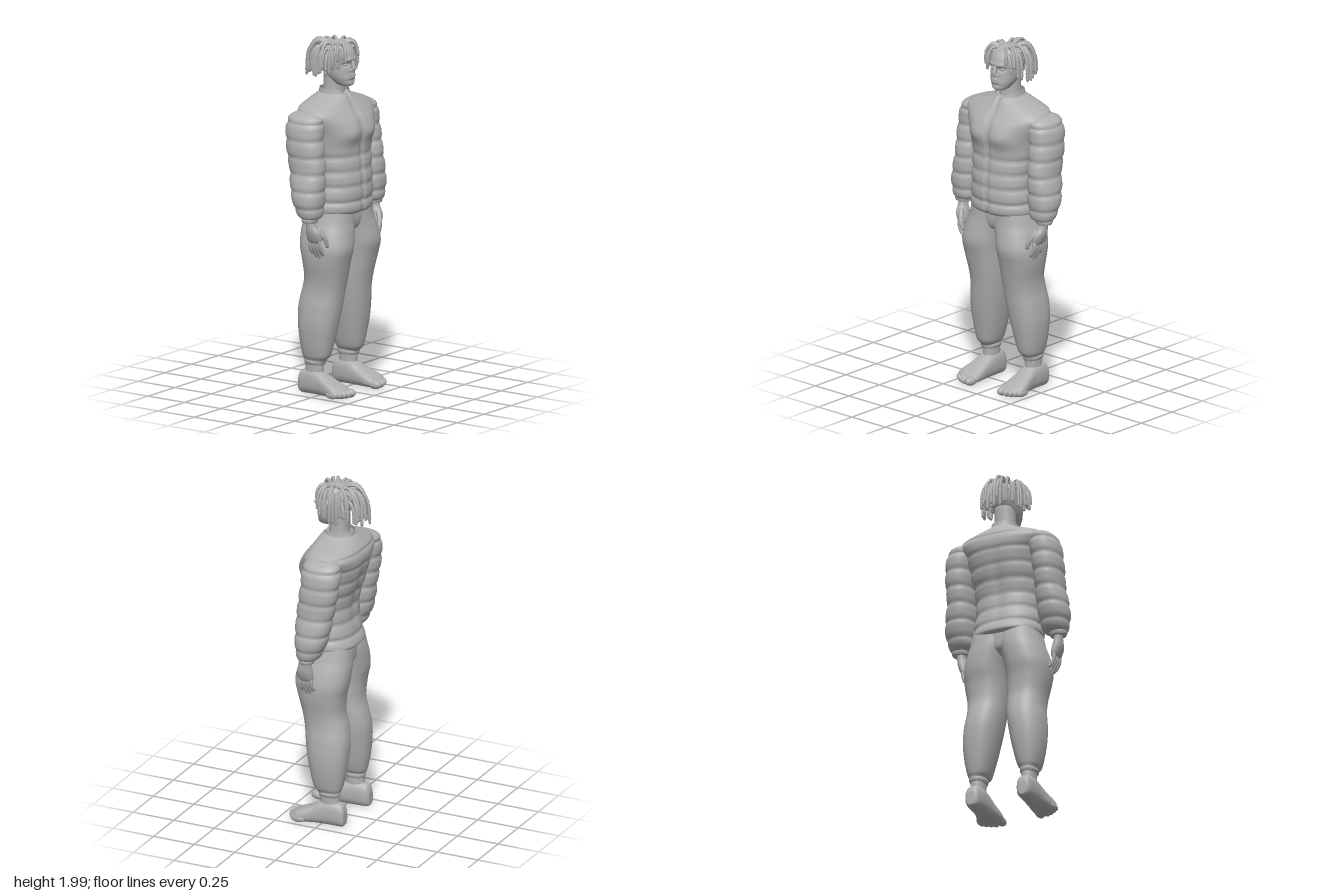
import * as THREE from 'three';

const grey = new THREE.MeshStandardMaterial({ color: 0xb0b0b0 });
grey.name = 'clay grey';
grey.side = THREE.DoubleSide;

const gauss = (d, w) => Math.exp(-(d * d) / (w * w));
const spline = (a, b, c, d, t) =>
  b + 0.5 * t * (c - a + t * (2 * a - 5 * b + 4 * c - d + t * (3 * (b - c) + d - a)));

// Smooth skin through sections [y, xMin, xMax, zBack, zFront], rising in y
function loft(rows, { n = 2.2, seg = 40, sub = 6, warp, open = false } = {}) {
  const rings = [];
  const last = rows.length - 1;
  for (let i = 0; i < last; i++) {
    for (let k = 0; k < sub; k++) {
      const p = [rows[Math.max(i - 1, 0)], rows[i], rows[i + 1], rows[Math.min(i + 2, last)]];
      rings.push(rows[i].map((_, c) => spline(p[0][c], p[1][c], p[2][c], p[3][c], k / sub)));
    }
  }
  rings.push(rows[last]);
  if (!open) {
    const pole = ([y, a, b, c, d]) => [y, (a + b) / 2, (a + b) / 2, (c + d) / 2, (c + d) / 2];
    rings.unshift(pole(rings[0]));
    rings.push(pole(rows[last]));
  }
  const pos = [], index = [], v = new THREE.Vector3();
  const round = (t) => Math.sign(t) * Math.abs(t) ** (2 / n);
  rings.forEach(([y, x0, x1, z0, z1], i) => {
    for (let j = 0; j < seg; j++) {
      const a = (j / seg) * Math.PI * 2;
      v.set((x0 + x1) / 2 + ((x1 - x0) / 2) * round(Math.cos(a)), y,
        (z0 + z1) / 2 + ((z1 - z0) / 2) * round(Math.sin(a)));
      if (warp) warp(v, (x0 + x1) / 2, (z0 + z1) / 2);
      pos.push(v.x, v.y, v.z);
      if (i < rings.length - 1) {
        const p = i * seg + j, q = i * seg + ((j + 1) % seg);
        index.push(p, p + seg, q, q, p + seg, q + seg);
      }
    }
  });
  const geo = new THREE.BufferGeometry();
  geo.setAttribute('position', new THREE.Float32BufferAttribute(pos, 3));
  geo.setIndex(index);
  geo.computeVertexNormals();
  return geo;
}

// Same skin with sections running along z: [z, xMin, xMax, yLow, yHigh]
const loftZ = (rows, opts) =>
  loft(rows.map(([z, a, b, lo, hi]) => [z, a, b, -hi, -lo]), opts).rotateX(Math.PI / 2);

// Tube whose radius follows a rule along its length
function rod(points, radius, steps = 16, sides = 8) {
  const path = new THREE.CatmullRomCurve3(points.map((p) => new THREE.Vector3(...p)));
  const geo = new THREE.TubeGeometry(path, steps, 1, sides);
  const pos = geo.attributes.position, v = new THREE.Vector3();
  for (let i = 0; i <= steps; i++) {
    const c = path.getPointAt(i / steps);
    const r = i === 0 || i === steps ? 0 : radius(i / steps, i);
    for (let j = 0; j <= sides; j++) {
      const k = i * (sides + 1) + j;
      v.fromBufferAttribute(pos, k).sub(c).multiplyScalar(r).add(c);
      pos.setXYZ(k, v.x, v.y, v.z);
    }
  }
  geo.computeVertexNormals();
  return geo;
}

const ball = (x, y, z, rx, ry, rz) =>
  new THREE.SphereGeometry(1, 20, 14).scale(rx, ry, rz).translate(x, y, z);

function mirrored(geo) {
  const m = geo.clone().scale(-1, 1, 1);
  const ix = m.index.array;
  for (let i = 0; i < ix.length; i += 3) [ix[i], ix[i + 1]] = [ix[i + 1], ix[i]];
  m.computeVertexNormals();
  return m;
}

// Quilted seams: pinch the section towards its centre at regular heights
function pinch(v, cx, cz, start, gap, depth) {
  const s = 1 - depth * (1 - Math.abs(Math.sin((Math.PI * (v.y - start)) / gap))) ** 2;
  v.x = cx + (v.x - cx) * s;
  v.z = cz + (v.z - cz) * s;
}

export function createModel() {
  const model = new THREE.Group();
  const add = (name, geo) => {
    const mesh = new THREE.Mesh(geo, grey);
    mesh.name = name;
    model.add(mesh);
  };
  const pair = (name, geo) => {
    add(name + 'Left', geo);
    add(name + 'Right', mirrored(geo));
  };
  const sym = (rows) => rows.map(([y, x, b, f]) => [y, -x, x, b, f]);

  // Padded jacket with chest, front opening and spine groove
  add('jacket', loft(sym([
    [1.03, 0.187, -0.135, 0.16], [1.05, 0.202, -0.148, 0.175], [1.1, 0.2, -0.135, 0.178],
    [1.2, 0.19, -0.118, 0.178], [1.3, 0.192, -0.12, 0.17], [1.4, 0.205, -0.148, 0.163],
    [1.48, 0.22, -0.168, 0.168], [1.55, 0.25, -0.182, 0.158], [1.595, 0.275, -0.18, 0.13],
    [1.625, 0.245, -0.168, 0.108], [1.65, 0.18, -0.15, 0.092], [1.672, 0.118, -0.13, 0.078],
    [1.69, 0.08, -0.11, 0.065],
  ]), {
    n: 2.25, seg: 96, sub: 8,
    warp: (v, cx, cz) => {
      if (v.y < 1.42) pinch(v, cx, cz, 1.1, 0.085, 0.06);
      else if (v.z < 0 && v.y < 1.62) pinch(v, cx, cz, 1.44, 0.085, 0.04);
      if (v.z > 0.03) {
        v.z += 0.022 * gauss(Math.abs(v.x) - 0.09, 0.075) * gauss(v.y - 1.485, 0.055);
        v.z -= 0.014 * gauss(v.x, 0.009);
      } else if (v.z < -0.05) v.z += 0.01 * gauss(v.x, 0.03) * gauss(v.y - 1.35, 0.2);
    },
  }));
  add('collar', loft(sym([
    [1.66, 0.085, -0.12, 0.075], [1.69, 0.076, -0.112, 0.066], [1.715, 0.072, -0.107, 0.06],
  ]), { open: true, warp: (v) => { if (v.z > 0) v.y -= 0.03 * gauss(v.x, 0.035); } }));

  // Puffed sleeves and cuffs
  pair('sleeve', loft([
    [1.03, 0.235, 0.345, -0.015, 0.075], [1.05, 0.212, 0.36, -0.045, 0.09],
    [1.12, 0.2, 0.374, -0.078, 0.1], [1.2, 0.193, 0.368, -0.1, 0.102],
    [1.3, 0.19, 0.35, -0.118, 0.1], [1.4, 0.185, 0.35, -0.138, 0.088],
    [1.5, 0.175, 0.344, -0.15, 0.078], [1.56, 0.17, 0.332, -0.15, 0.078],
    [1.595, 0.18, 0.308, -0.135, 0.06], [1.615, 0.2, 0.27, -0.1, 0.025],
  ], { seg: 48, sub: 10, warp: (v, cx, cz) => { if (v.y < 1.58) pinch(v, cx, cz, 1.09, 0.094, 0.09); } }));
  pair('cuff', loft([
    [1.01, 0.255, 0.345, -0.01, 0.068], [1.025, 0.252, 0.35, -0.015, 0.072],
    [1.05, 0.25, 0.345, -0.015, 0.072],
  ]));

  // Hands hanging with curled fingers
  pair('palm', loft([
    [0.89, 0.258, 0.292, 0.008, 0.085], [0.91, 0.255, 0.304, 0, 0.094],
    [0.95, 0.26, 0.318, 0, 0.092], [0.99, 0.272, 0.322, 0.005, 0.066], [1.03, 0.275, 0.325, 0.005, 0.058],
  ], { seg: 24 }));
  [[0.083, 0.815], [0.06, 0.795], [0.037, 0.8], [0.014, 0.825]].forEach(([z, tip], i) =>
    pair('finger' + i, rod([[0.28, 0.91, z], [0.278, 0.87, z], [0.262, 0.835, z - 0.002],
      [0.24, tip, z - 0.004]], (t) => 0.0125 - 0.004 * t)));
  pair('thumb', rod([[0.282, 0.975, 0.065], [0.262, 0.93, 0.095], [0.248, 0.895, 0.103],
    [0.236, 0.86, 0.1]], (t) => 0.016 - 0.006 * t));

  // Loose trousers gathered at the ankle
  add('hips', loft(sym([
    [0.9, 0.025, -0.05, 0.05], [0.92, 0.06, -0.09, 0.1], [0.95, 0.12, -0.117, 0.132],
    [1.0, 0.18, -0.122, 0.142], [1.06, 0.185, -0.12, 0.14],
  ])));
  pair('trouserLeg', loft([
    [0.185, 0.118, 0.2, -0.102, 0.022], [0.2, 0.11, 0.203, -0.105, 0.032],
    [0.225, 0.093, 0.215, -0.115, 0.052], [0.3, 0.072, 0.23, -0.13, 0.07],
    [0.4, 0.05, 0.24, -0.142, 0.09], [0.5, 0.032, 0.236, -0.144, 0.105],
    [0.58, 0.022, 0.226, -0.13, 0.115], [0.66, 0.016, 0.228, -0.112, 0.13],
    [0.76, 0.01, 0.245, -0.118, 0.152], [0.84, 0.002, 0.249, -0.135, 0.17],
    [0.92, -0.015, 0.232, -0.14, 0.16], [0.98, -0.035, 0.212, -0.136, 0.15],
    [1.05, -0.04, 0.195, -0.125, 0.145],
  ], { n: 2.35, seg: 48 }));
  pair('trouserCuff', loft([
    [0.17, 0.113, 0.198, -0.1, 0.018], [0.185, 0.108, 0.204, -0.105, 0.024],
    [0.203, 0.112, 0.2, -0.102, 0.02],
  ]));
  pair('ankle', loft([[0.08, 0.118, 0.195, -0.1, 0.01], [0.19, 0.118, 0.195, -0.096, 0.014]]));

  // Bare feet, toes stepping back towards the outside
  pair('foot', loftZ([
    [-0.138, 0.135, 0.185, 0.012, 0.09], [-0.12, 0.117, 0.198, 0, 0.128],
    [-0.06, 0.107, 0.207, 0, 0.145], [0, 0.103, 0.212, 0, 0.135], [0.05, 0.1, 0.222, 0, 0.108],
    [0.1, 0.094, 0.236, 0, 0.084], [0.135, 0.094, 0.238, 0.001, 0.068],
    [0.16, 0.099, 0.218, 0.004, 0.054], [0.178, 0.108, 0.19, 0.01, 0.042],
  ], { n: 2.6, seg: 32 }));
  [[0.12, 0.165, 0.026], [0.157, 0.162, 0.019], [0.183, 0.152, 0.018], [0.206, 0.138, 0.017],
    [0.226, 0.122, 0.015]].forEach(([x, z, r], i) =>
    pair('toe' + i, ball(x, 0.026, z, r, 0.026 - i * 0.001, 0.042)));

  // Neck, head and face
  add('neck', loft(sym([
    [1.62, 0.075, -0.1, 0.045], [1.7, 0.06, -0.082, 0.032], [1.82, 0.06, -0.082, 0.03],
  ])));
  add('head', loft(sym([
    [1.735, 0.03, 0.02, 0.088], [1.745, 0.044, -0.01, 0.1], [1.775, 0.063, -0.045, 0.104],
    [1.81, 0.075, -0.075, 0.1], [1.85, 0.081, -0.098, 0.098], [1.9, 0.085, -0.108, 0.1],
    [1.94, 0.08, -0.1, 0.085], [1.968, 0.058, -0.075, 0.055], [1.982, 0.02, -0.03, 0.01],
  ]), {
    seg: 72, sub: 8,
    warp: (v) => {
      if (v.z < 0.03) return;
      const side = Math.abs(v.x);
      v.z += 0.009 * gauss(v.y - 1.885, 0.012) * gauss(side - 0.03, 0.035);
      v.z -= 0.013 * gauss(v.y - 1.862, 0.013) * gauss(side - 0.034, 0.02);
      v.z -= 0.006 * gauss(v.y - 1.768, 0.01) * gauss(v.x, 0.04);
    },
  }));
  add('noseBridge', rod([[0, 1.885, 0.095], [0, 1.86, 0.105], [0, 1.828, 0.112]], (t) => 0.008 + 0.006 * t));
  add('noseTip', ball(0, 1.831, 0.109, 0.013, 0.011, 0.012));
  add('noseStud', new THREE.BoxGeometry(0.012, 0.012, 0.012).translate(0, 1.845, 0.124));
  pair('nostril', ball(0.015, 1.828, 0.1, 0.009, 0.008, 0.011));
  pair('eye', ball(0.034, 1.86, 0.08, 0.014, 0.009, 0.01));
  pair('ear', ball(0.085, 1.85, -0.012, 0.01, 0.032, 0.019));
  add('upperLip', ball(0, 1.798, 0.098, 0.028, 0.007, 0.01));
  add('lowerLip', ball(0, 1.786, 0.098, 0.025, 0.008, 0.01));

  // Twisted locks: three rows leave the scalp at odd angles, arch outwards and hang
  const locks = new THREE.Group();
  locks.name = 'locks';
  model.add(locks);
  let seed = 7;
  const rand = () => (seed = (seed * 16807) % 2147483647) / 2147483647;
  [[60, 17], [42, 24], [20, 28]].forEach(([deg, count], row) => {
    for (let i = 0; i < count; i++) {
      const a = ((i + 0.5 + (rand() - 0.5) * 0.6) / count) * Math.PI * 2;
      const swing = a + (rand() - 0.5) * 0.5;
      const e = ((deg + (rand() - 0.5) * 14) * Math.PI) / 180;
      const s = Math.sin(swing), c = Math.cos(swing);
      if (Math.cos(a) > (row === 2 ? 0.45 : 0.9)) continue;
      const front = Math.max(c, 0), back = Math.max(-c, 0);
      const start = [0.084 * Math.cos(e) * Math.sin(a), 1.868 + 0.113 * Math.sin(e),
        0.1 * Math.cos(e) * Math.cos(a) - 0.005];
      const k = 0.95 + rand() * 0.14 - row * 0.05;
      const rx = 0.123 * k, rz = (c > 0 ? 0.105 : 0.19) * k;
      const end = 1.805 - 0.02 * back + 0.085 * front + (rand() - 0.5) * 0.06;
      const top = start[1] + 0.01 - row * 0.004;
      const mid = (f, y) => [start[0] + (rx * s - start[0]) * f, y, start[2] + (rz * c - start[2]) * f];
      const geo = rod([start, mid(0.5, top), mid(0.9, top - (top - end) * 0.35), mid(1, end)],
        (t, n) => (n % 2 ? 0.0102 : 0.0078) * (t > 0.93 ? 0.8 : 1), 26, 7);
      const mesh = new THREE.Mesh(geo, grey);
      mesh.name = 'lock';
      locks.add(mesh);
    }
  });
  return model;
}
